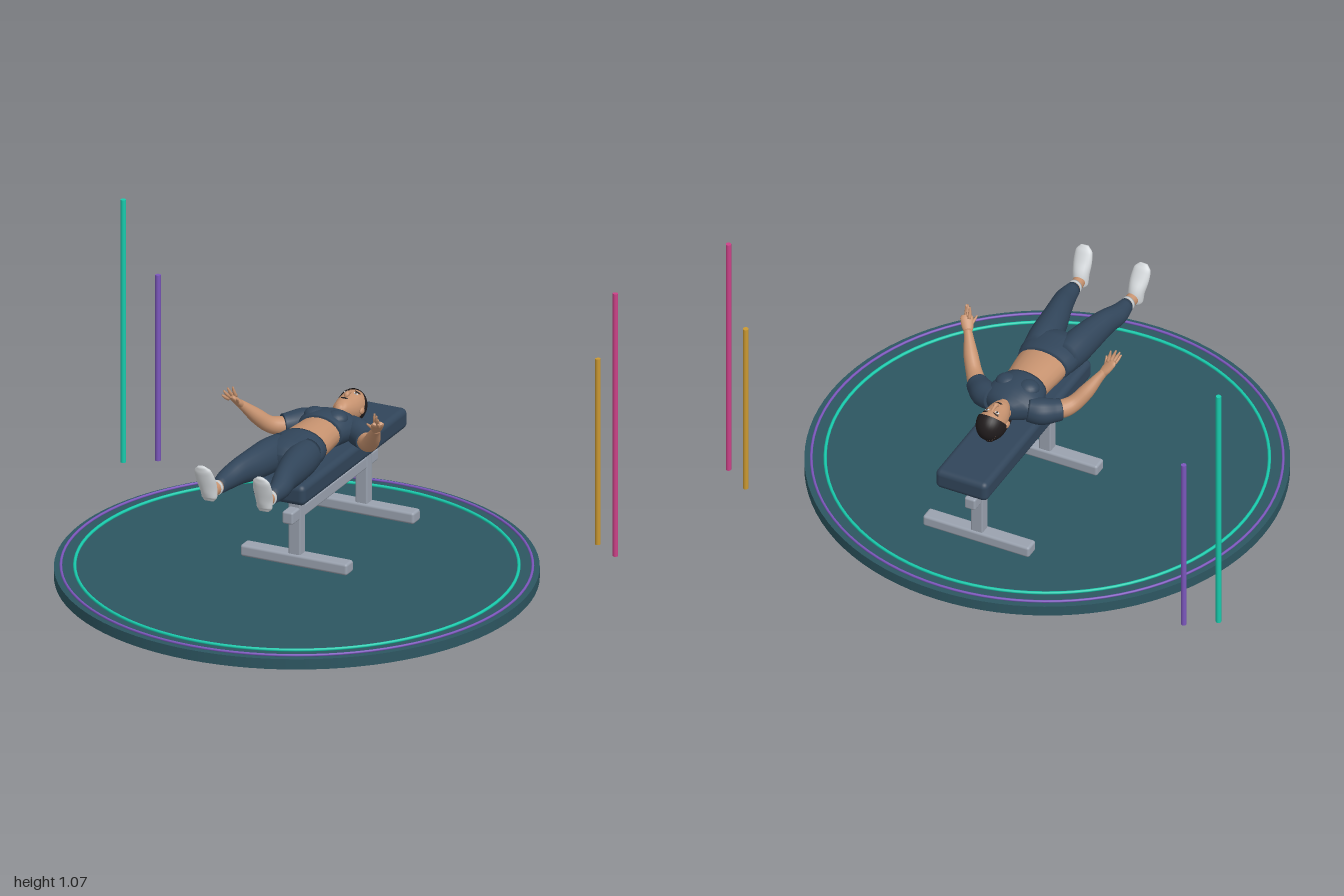
import * as THREE from 'three';
import { RoundedBoxGeometry } from 'three/addons/geometries/RoundedBoxGeometry.js';

const colour = (name, hex) => {
  const m = new THREE.MeshStandardMaterial({ color: hex, side: THREE.DoubleSide });
  m.name = name;
  return m;
};

// Smooth loft through elliptical sections [x, y, z, halfWidth, halfHeight]
function loft(sections, ref = new THREE.Vector3(0, 1, 0), steps = 20, sides = 20) {
  const path = new THREE.CatmullRomCurve3(sections.map(s => new THREE.Vector3(s[0], s[1], s[2])));
  const size = new THREE.CatmullRomCurve3(sections.map(s => new THREE.Vector3(s[3], s[4], 0)));
  const pos = [], idx = [];
  for (let i = 0; i <= steps; i++) {
    const c = path.getPoint(i / steps), r = size.getPoint(i / steps), t = path.getTangent(i / steps);
    const side = new THREE.Vector3().crossVectors(ref, t).normalize();
    const up = new THREE.Vector3().crossVectors(t, side);
    for (let j = 0; j < sides; j++) {
      const a = j / sides * Math.PI * 2;
      const p = c.clone().addScaledVector(side, Math.cos(a) * r.x).addScaledVector(up, Math.sin(a) * r.y);
      pos.push(p.x, p.y, p.z);
      if (i < steps) {
        const k = i * sides + j, n = i * sides + (j + 1) % sides;
        idx.push(k, n, k + sides, n, n + sides, k + sides);
      }
    }
  }
  // End caps
  const first = pos.length / 3, last = steps * sides;
  pos.push(...sections[0].slice(0, 3), ...sections[sections.length - 1].slice(0, 3));
  for (let j = 0; j < sides; j++) {
    const n = (j + 1) % sides;
    idx.push(first, n, j, first + 1, last + j, last + n);
  }
  const g = new THREE.BufferGeometry();
  g.setAttribute('position', new THREE.Float32BufferAttribute(pos, 3));
  g.setIndex(idx);
  g.computeVertexNormals();
  return g;
}

export function createModel() {
  const model = new THREE.Group();
  const floor = colour('darkTeal', 0x2d5661), navy = colour('navy', 0x31455a);
  const steel = colour('steelGrey', 0x9aa2af), teal = colour('teal', 0x18cbad);
  const purple = colour('purple', 0x7c57bd), pink = colour('pink', 0xcb4288);
  const gold = colour('gold', 0xcb9932), skin = colour('skin', 0xc6926f);
  const hair = colour('darkHair', 0x211c1d), white = colour('white', 0xd3d7da);

  const add = (name, geo, mat, x = 0, y = 0, z = 0, parent = model) => {
    const m = new THREE.Mesh(geo, mat);
    m.name = name;
    m.position.set(x, y, z);
    parent.add(m);
    return m;
  };
  const group = name => {
    const g = new THREE.Group();
    g.name = name;
    model.add(g);
    return g;
  };
  const ball = (rx, ry, rz) => new THREE.SphereGeometry(1, 20, 14).scale(rx, ry, rz);

  // Round platform with two inlaid rings
  add('platform', new THREE.CylinderGeometry(0.875, 0.875, 0.04, 96), floor, 0, 0.02, 0);
  for (const [name, r, tube, mat] of [['innerRing', 0.8, 0.006, teal], ['outerRing', 0.85, 0.005, purple]])
    add(name, new THREE.TorusGeometry(r, tube, 8, 96).rotateX(Math.PI / 2), mat, 0, 0.045, 0);

  // Light poles
  for (const [name, x, z, top, mat] of [
    ['tealPole', -0.99, -0.585, 1.07, teal], ['purplePole', -0.885, -0.655, 0.77, purple],
    ['pinkPole', 0.99, -0.585, 1.07, pink], ['goldPole', 0.885, -0.655, 0.77, gold]])
    add(name, new THREE.CylinderGeometry(0.01, 0.01, top - 0.047, 12), mat, x, (top + 0.047) / 2, z);

  // Bench
  const bench = group('bench');
  add('benchPad', new RoundedBoxGeometry(0.21, 0.08, 0.845, 4, 0.022), navy, 0, 0.384, -0.268, bench);
  add('benchBeam', new RoundedBoxGeometry(0.044, 0.048, 0.695, 2, 0.008), steel, 0, 0.255, -0.27, bench);
  for (const z of [0, -0.54]) {
    add('benchPost', new RoundedBoxGeometry(0.048, 0.28, 0.044, 2, 0.006), steel, 0, 0.215, z, bench);
    add('benchFoot', new RoundedBoxGeometry(0.43, 0.045, 0.058, 2, 0.01), steel, 0, 0.073, z, bench);
  }

  // Torso, lying on the back with the head towards -z
  const body = group('lyingFigure');
  const put = (name, mat, sections, ref, steps, sides) =>
    add(name, loft(sections, ref, steps, sides), mat, 0, 0, 0, body);
  put('shirt', navy, [
    [0, 0.495, -0.178, 0.088, 0.064], [0, 0.496, -0.22, 0.102, 0.068], [0, 0.492, -0.27, 0.114, 0.064],
    [0, 0.488, -0.31, 0.098, 0.052], [0, 0.487, -0.335, 0.05, 0.038], [0, 0.487, -0.345, 0.03, 0.028]]);
  put('midriff', skin, [
    [0, 0.494, -0.22, 0.084, 0.058], [0, 0.493, -0.16, 0.085, 0.062],
    [0, 0.493, -0.09, 0.092, 0.064], [0, 0.494, -0.02, 0.098, 0.062]]);
  put('trouserHips', navy, [
    [0, 0.495, -0.042, 0.1, 0.067], [0, 0.495, 0.01, 0.112, 0.068], [0, 0.495, 0.07, 0.112, 0.066],
    [0, 0.495, 0.115, 0.08, 0.05], [0, 0.495, 0.135, 0.04, 0.025]]);
  put('neck', skin, [[0, 0.485, -0.29, 0.035, 0.034], [0, 0.492, -0.35, 0.029, 0.031], [0, 0.5, -0.41, 0.032, 0.032]]);

  // Head and hair
  put('head', skin, [
    [0, 0.538, -0.336, 0.01, 0.01], [0, 0.528, -0.347, 0.025, 0.027], [0, 0.515, -0.375, 0.039, 0.043],
    [0, 0.505, -0.41, 0.047, 0.053], [0, 0.502, -0.45, 0.05, 0.058], [0, 0.5, -0.485, 0.042, 0.047],
    [0, 0.5, -0.502, 0.012, 0.014]]);
  const cap = new THREE.SphereGeometry(1, 32, 18, 0, Math.PI * 2, 0, 1.66);
  add('hairCap', cap.rotateX(-2.16).scale(0.056, 0.064, 0.072), hair, 0, 0.503, -0.437, body);
  put('ponytail', hair, [
    [0, 0.45, -0.465, 0.018, 0.014], [0, 0.44, -0.42, 0.026, 0.015],
    [0, 0.437, -0.35, 0.024, 0.012], [0, 0.434, -0.285, 0.008, 0.006]]);
  put('nose', skin, [
    [0, 0.555, -0.443, 0.005, 0.005], [0, 0.56, -0.42, 0.006, 0.007],
    [0, 0.562, -0.405, 0.01, 0.009], [0, 0.553, -0.397, 0.007, 0.006]]);
  add('mouth', ball(0.014, 0.004, 0.0035), hair, 0, 0.5535, -0.383, body);

  // Paired parts, the left side being +x
  for (const s of [1, -1]) {
    const side = s > 0 ? 'left' : 'right';
    const pair = (name, mat, sections, ref, steps, sides) =>
      put(side + name, mat, sections.map(([x, ...rest]) => [x * s, ...rest]), ref, steps, sides);
    const dot = (name, mat, r, x, y, z) => add(side + name, ball(...r), mat, x * s, y, z, body).rotation;

    // Face details
    dot('Eye', white, [0.009, 0.003, 0.0045], 0.02, 0.555, -0.437).z = -0.35 * s;
    dot('Pupil', hair, [0.004, 0.003, 0.004], 0.02, 0.5565, -0.437).z = -0.35 * s;
    dot('Brow', hair, [0.012, 0.003, 0.0025], 0.021, 0.555, -0.449).z = -0.4 * s;
    dot('Ear', skin, [0.007, 0.012, 0.016], 0.053, 0.5, -0.42);
    dot('Chest', navy, [0.042, 0.03, 0.04], 0.043, 0.536, -0.235);

    // Arm and sleeve
    pair('Sleeve', navy, [
      [0.07, 0.488, -0.292, 0.04, 0.046], [0.115, 0.482, -0.272, 0.05, 0.05],
      [0.15, 0.478, -0.243, 0.044, 0.044], [0.168, 0.477, -0.226, 0.041, 0.041]]);
    pair('Arm', skin, [
      [0.13, 0.48, -0.26, 0.033, 0.033], [0.175, 0.477, -0.215, 0.034, 0.034], [0.203, 0.49, -0.183, 0.03, 0.031],
      [0.235, 0.53, -0.145, 0.027, 0.028], [0.262, 0.572, -0.108, 0.018, 0.019], [0.276, 0.592, -0.09, 0.015, 0.015]]);

    // Hand with spread fingers
    pair('Palm', skin, [
      [0.27, 0.583, -0.097, 0.014, 0.014], [0.28, 0.6, -0.082, 0.022, 0.013],
      [0.292, 0.621, -0.065, 0.024, 0.011], [0.297, 0.63, -0.058, 0.018, 0.008]]);
    const fingers = [
      [0.28, 0.625, -0.07, 0.285, 0.667, -0.055], [0.289, 0.627, -0.064, 0.3, 0.665, -0.042],
      [0.297, 0.624, -0.058, 0.311, 0.655, -0.033], [0.302, 0.617, -0.055, 0.314, 0.64, -0.027],
      [0.274, 0.597, -0.08, 0.261, 0.628, -0.042]];
    for (const [x, y, z, tx, ty, tz] of fingers)
      pair('Finger', skin, [
        [x, y, z, 0.007, 0.007], [(x + tx) / 2, (y + ty) / 2, (z + tz) / 2 + 0.003, 0.006, 0.006],
        [tx, ty, tz, 0.003, 0.003]], undefined, 6, 8);

    // Leg, ankle and shoe
    pair('TrouserLeg', navy, [
      [0.056, 0.495, 0.02, 0.053, 0.06], [0.063, 0.497, 0.1, 0.059, 0.065], [0.076, 0.498, 0.2, 0.052, 0.06],
      [0.091, 0.499, 0.28, 0.043, 0.05], [0.105, 0.491, 0.35, 0.038, 0.04], [0.107, 0.487, 0.418, 0.026, 0.03]]);
    pair('Ankle', skin, [
      [0.107, 0.487, 0.4, 0.023, 0.027], [0.107, 0.487, 0.44, 0.022, 0.025], [0.11, 0.488, 0.48, 0.024, 0.026]]);
    pair('SockBand', white, [[0.107, 0.487, 0.425, 0.025, 0.028], [0.108, 0.487, 0.437, 0.025, 0.028]], undefined, 2);
    pair('Shoe', white, [
      [0.111, 0.456, 0.488, 0.018, 0.01], [0.111, 0.47, 0.483, 0.029, 0.025], [0.112, 0.505, 0.487, 0.031, 0.031],
      [0.115, 0.548, 0.507, 0.036, 0.023], [0.118, 0.585, 0.524, 0.033, 0.015], [0.119, 0.604, 0.533, 0.015, 0.006]],
      new THREE.Vector3(0, 0, 1));
  }
  return model;
}
